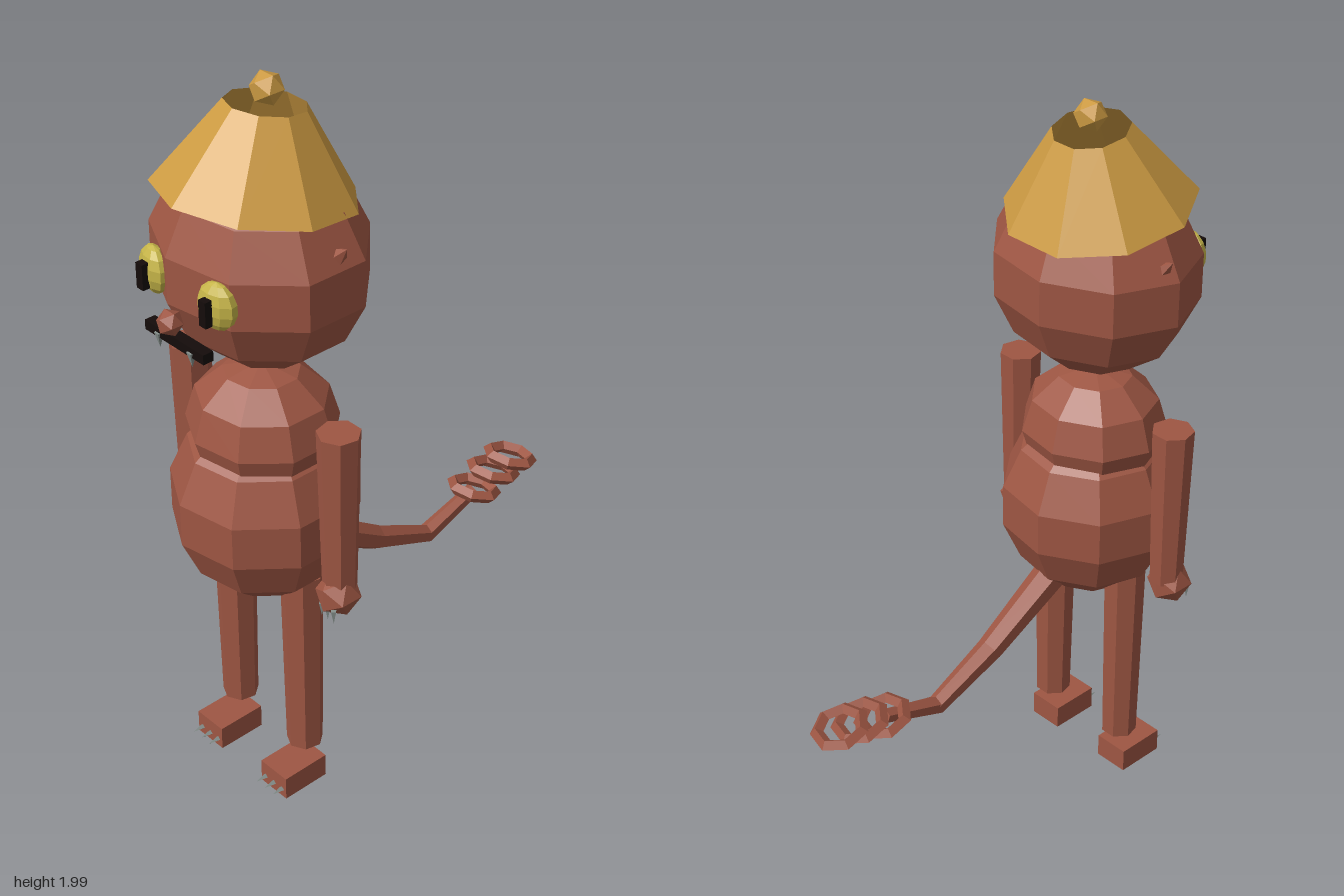
import * as THREE from 'three';

const mat = (name, color, extra = {}) => {
  const m = new THREE.MeshStandardMaterial({ color, flatShading: true, ...extra });
  m.name = name;
  return m;
};

export function createModel() {
  const fur = mat('reddish brown fur', 0x9e5643);
  const gold = mat('golden hat', 0xcc9a42, { side: THREE.DoubleSide });
  const yellow = mat('yellow eye', 0xc6b548);
  const black = mat('black', 0x140c0a);
  const claw = mat('grey claw', 0x86908c);

  const model = new THREE.Group();
  model.name = 'tailedCreature';
  const add = (name, geo, material, x, y, z) => {
    const mesh = new THREE.Mesh(geo, material);
    mesh.name = name;
    mesh.position.set(x, y, z);
    model.add(mesh);
    return mesh;
  };
  const ball = (name, y, z, rx, ry, rz, rings) =>
    add(name, new THREE.SphereGeometry(1, 9, rings), fur, 0, y, z).scale.set(rx, ry, rz);

  // Rounded body stack
  ball('belly', 0.85, 0.333, 0.25, 0.272, 0.25, 7);
  ball('chest', 1.075, 0.335, 0.202, 0.178, 0.19, 6);
  ball('head', 1.545, 0.325, 0.295, 0.275, 0.255, 7);

  // Tilted open hat with pompom
  const hat = add('hat', new THREE.CylinderGeometry(0.1, 0.25, 0.215, 9, 1, true), gold, 0, 1.822, 0.317);
  hat.rotation.x = -0.17;
  add('hatPompom', new THREE.IcosahedronGeometry(0.043), gold, 0, 1.963, 0.295);

  // Face
  add('nose', new THREE.IcosahedronGeometry(0.034), fur, 0, 1.47, 0.603);
  add('mouth', new THREE.BoxGeometry(0.216, 0.026, 0.03), black, 0, 1.413, 0.58);

  for (const s of [-1, 1]) {
    const side = s > 0 ? 'left' : 'right';

    const eye = add(side + 'Eye', new THREE.SphereGeometry(1, 9, 7), yellow, s * 0.115, 1.545, 0.553);
    eye.scale.set(0.056, 0.062, 0.03);
    eye.rotation.y = s * 0.2;
    add(side + 'Pupil', new THREE.BoxGeometry(0.024, 0.068, 0.02), black, s * 0.115, 1.54, 0.588);

    const fang = add(side + 'Fang', new THREE.ConeGeometry(0.013, 0.042, 5), claw, s * 0.06, 1.391, 0.59);
    fang.rotation.x = Math.PI;

    const ear = add(side + 'Ear', new THREE.ConeGeometry(0.034, 0.065, 5), fur, s * 0.256, 1.642, 0.305);
    ear.rotation.z = -s * 0.8;

    // Arm, hand and hanging claws
    add(side + 'Arm', new THREE.CylinderGeometry(0.056, 0.045, 0.46, 7), fur, s * 0.28, 0.95, 0.335);
    add(side + 'Hand', new THREE.IcosahedronGeometry(0.06), fur, s * 0.285, 0.708, 0.345);
    for (const i of [-1, 0, 1]) {
      const c = add(side + 'HandClaw', new THREE.ConeGeometry(0.009, 0.04, 4), claw, s * 0.29 + i * 0.022, 0.668, 0.385);
      c.rotation.x = Math.PI;
    }

    // Leg, detached foot and toe claws
    add(side + 'Leg', new THREE.CylinderGeometry(0.057, 0.049, 0.56, 7), fur, s * 0.133, 0.402, 0.333);
    add(side + 'Foot', new THREE.BoxGeometry(0.1, 0.068, 0.14), fur, s * 0.133, 0.04, 0.375);
    for (const i of [-1, 0, 1]) {
      const c = add(side + 'ToeClaw', new THREE.ConeGeometry(0.01, 0.04, 4), claw, s * 0.133 + i * 0.033, 0.03, 0.458);
      c.rotation.x = Math.PI / 2;
    }
  }

  // Tapering bent tail: [y, z, radius]
  const tail = [[0.66, 0.18, 0.045], [0.525, -0.04, 0.035], [0.438, -0.235, 0.026], [0.498, -0.41, 0.02]];
  const up = new THREE.Vector3(0, 1, 0);
  for (let i = 0; i < 3; i++) {
    const [y0, z0, r0] = tail[i], [y1, z1, r1] = tail[i + 1];
    const dir = new THREE.Vector3(0, y1 - y0, z1 - z0);
    const seg = add('tailSegment', new THREE.CylinderGeometry(r1, r0, dir.length() + 0.01, 6),
      fur, 0, (y0 + y1) / 2, (z0 + z1) / 2);
    seg.quaternion.setFromUnitVectors(up, dir.normalize());
  }

  // Rings at the tail tip
  for (const [y, z] of [[0.503, -0.42], [0.53, -0.495], [0.546, -0.562]]) {
    const ring = add('tailRing', new THREE.TorusGeometry(0.062, 0.018, 4, 7), fur, 0, y, z);
    ring.rotation.x = 1.27;
  }

  return model;
}
